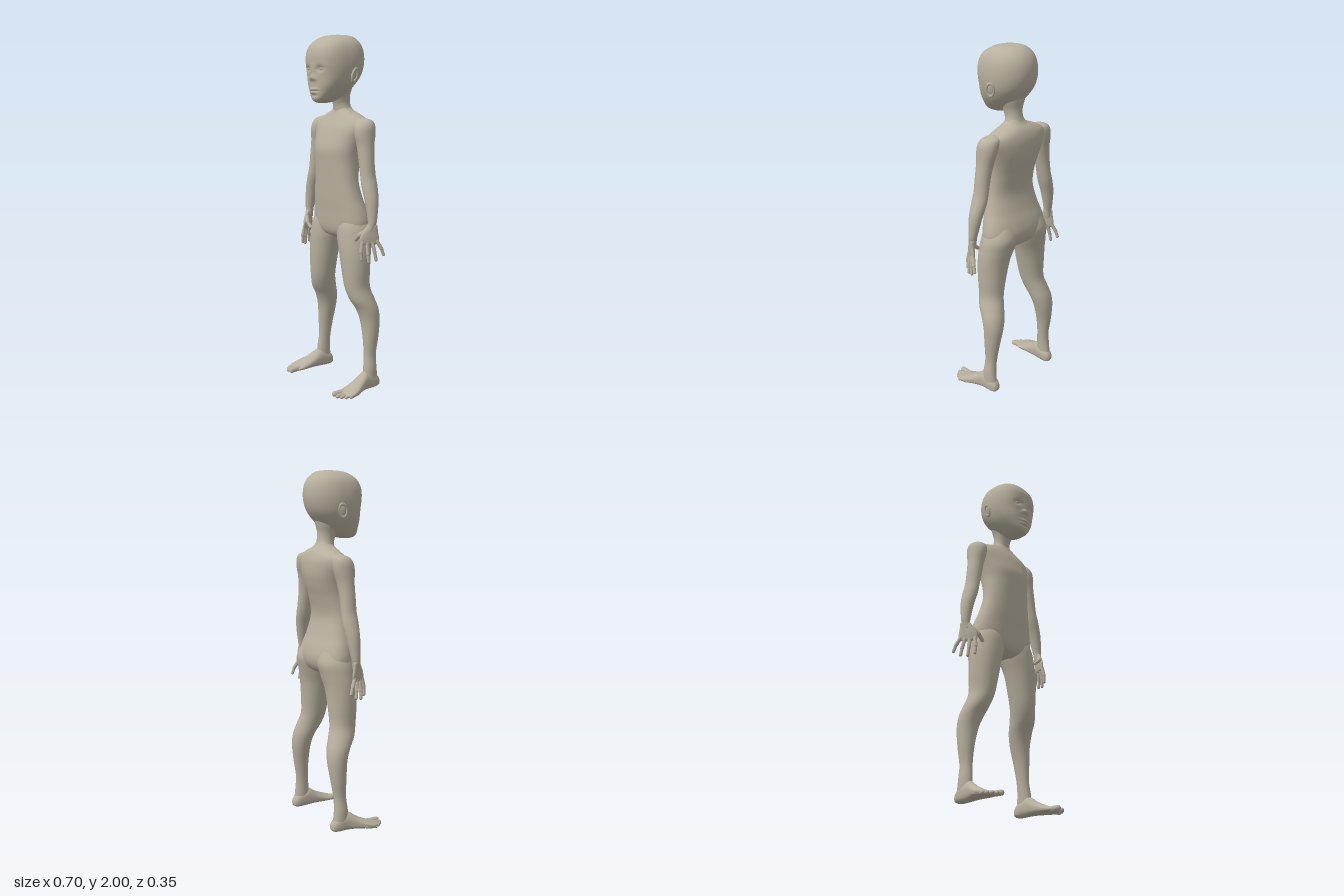
import * as THREE from 'three';

const clay = new THREE.MeshStandardMaterial({ color: 0xb8b09e });
clay.name = 'clay';

const cubic = (a, b, c, d, t) =>
  0.5 * (2 * b + (c - a) * t + (2 * a - 5 * b + 4 * c - d) * t * t + (3 * b - a - 3 * c + d) * t * t * t);

// Smooth loft through horizontal sections [y, centreX, frontZ, backZ, halfWidth], lowest first.
// nf and nb set how square the front and back halves of each section are.
function loft(rows, { seg = 32, sub = 5, nf = 2, nb = 2 } = {}) {
  const pos = [], index = [], last = rows.length - 1, steps = last * sub;
  for (let i = 0; i <= steps; i++) {
    const k = Math.min(Math.floor(i / sub), last - 1), t = i / sub - k;
    const row = n => rows[Math.max(0, Math.min(last, n))];
    const [y, cx, zf, zb, hw] = rows[0].map((_, c) => cubic(row(k - 1)[c], row(k)[c], row(k + 1)[c], row(k + 2)[c], t));
    const rx = Math.max(hw, 0.001), rz = Math.max((zf - zb) / 2, 0.001);
    for (let j = 0; j < seg; j++) {
      const a = (j / seg) * Math.PI * 2, c = Math.cos(a), s = Math.sin(a), n = s > 0 ? nf : nb;
      pos.push(cx + rx * Math.sign(c) * Math.abs(c) ** (2 / n), y, (zf + zb) / 2 + rz * Math.sign(s) * Math.abs(s) ** (2 / n));
      if (i < steps) {
        const p = i * seg + j, q = i * seg + ((j + 1) % seg);
        index.push(p, p + seg, q, q, p + seg, q + seg);
      }
    }
  }
  // close both ends
  for (const [ring, flip] of [[0, false], [steps, true]]) {
    const o = ring * seg;
    for (let j = 1; j < seg - 1; j++) index.push(o, o + (flip ? j + 1 : j), o + (flip ? j : j + 1));
  }
  const g = new THREE.BufferGeometry();
  g.setAttribute('position', new THREE.Float32BufferAttribute(pos, 3));
  g.setIndex(index);
  g.computeVertexNormals();
  return g;
}

// Move vertices by a rule
function sculpt(g, rule) {
  const p = g.attributes.position, v = new THREE.Vector3();
  for (let i = 0; i < p.count; i++) {
    rule(v.fromBufferAttribute(p, i));
    p.setXYZ(i, v.x, v.y, v.z);
  }
  g.computeVertexNormals();
  return g;
}

function add(parent, name, geometry) {
  const m = new THREE.Mesh(geometry, clay);
  m.name = name;
  parent.add(m);
  return m;
}

// Rounded rod between two points, for fingers and toes
function rod(parent, name, a, b, r) {
  const A = new THREE.Vector3(...a), B = new THREE.Vector3(...b), d = B.clone().sub(A);
  const m = add(parent, name, new THREE.CapsuleGeometry(r, d.length(), 6, 12));
  m.position.copy(A).addScaledVector(d, 0.5);
  m.quaternion.setFromUnitVectors(new THREE.Vector3(0, 1, 0), d.normalize());
  return m;
}

function ball(parent, name, x, y, z, rx, ry, rz) {
  const m = add(parent, name, new THREE.SphereGeometry(1, 24, 16));
  m.position.set(x, y, z);
  m.scale.set(rx, ry, rz);
  return m;
}

function buildHead(root) {
  const head = new THREE.Group();
  head.name = 'head';
  root.add(head);
  const skull = loft([
    [1.628, 0, 0.10, 0.05, 0.01], [1.636, 0, 0.125, 0.01, 0.036], [1.655, 0, 0.138, -0.03, 0.062],
    [1.69, 0, 0.139, -0.075, 0.093], [1.73, 0, 0.141, -0.115, 0.119], [1.78, 0, 0.142, -0.152, 0.137],
    [1.84, 0, 0.149, -0.171, 0.145], [1.90, 0, 0.147, -0.171, 0.141], [1.95, 0, 0.122, -0.153, 0.123],
    [1.985, 0, 0.07, -0.118, 0.085], [1.997, 0, 0.02, -0.08, 0.045], [2.0, 0, -0.025, -0.035, 0.003],
  ], { seg: 96, sub: 9, nf: 2.6, nb: 2.1 });
  // face relief: [x, y, depth, width, height]
  const relief = [
    [0, 1.768, 0.016, 0.017, 0.014], [0, 1.80, 0.009, 0.012, 0.03],
    [0.022, 1.76, 0.007, 0.01, 0.01], [-0.022, 1.76, 0.007, 0.01, 0.01],
    [0.056, 1.815, -0.012, 0.024, 0.015], [-0.056, 1.815, -0.012, 0.024, 0.015],
    [0, 1.703, 0.010, 0.03, 0.008], [0, 1.686, 0.009, 0.026, 0.007],
    [0, 1.695, -0.008, 0.034, 0.0035], [0, 1.67, -0.004, 0.03, 0.007],
  ];
  add(head, 'skull', sculpt(skull, v => {
    if (v.z < 0.03) return;
    let dz = 0;
    for (const [x, y, d, w, h] of relief) dz += d * Math.exp(-(((v.x - x) / w) ** 2) - ((v.y - y) / h) ** 2);
    v.z += dz;
  }));
  for (const s of [1, -1]) {
    ball(head, 'eye', s * 0.056, 1.815, 0.121, 0.021, 0.012, 0.014);
    // ear: outer rim round a shallow shell
    const ear = new THREE.Group();
    ear.name = 'ear';
    ear.position.set(s * 0.147, 1.782, -0.026);
    ear.rotation.set(-0.15, s * 0.35, s * -0.15);
    head.add(ear);
    ball(ear, 'earShell', 0, 0, 0, 0.009, 0.036, 0.022);
    const rim = add(ear, 'earRim', new THREE.TorusGeometry(0.024, 0.006, 8, 28));
    rim.rotation.y = Math.PI / 2;
    rim.scale.set(0.9, 1.5, 1);
    rim.position.x = s * 0.006;
  }
}

function buildArm(root, s) {
  const arm = new THREE.Group();
  arm.name = s > 0 ? 'leftArm' : 'rightArm';
  root.add(arm);
  add(arm, 'armLength', loft([
    [0.935, s * 0.301, -0.005, -0.055, 0.016], [0.97, s * 0.303, -0.012, -0.058, 0.022],
    [1.0, s * 0.303, -0.013, -0.064, 0.026], [1.1, s * 0.288, -0.006, -0.083, 0.036],
    [1.18, s * 0.264, -0.002, -0.094, 0.040], [1.24, s * 0.248, -0.004, -0.094, 0.038],
    [1.32, s * 0.234, -0.004, -0.094, 0.042], [1.4, s * 0.219, -0.002, -0.103, 0.046],
    [1.46, s * 0.209, 0.006, -0.118, 0.052], [1.505, s * 0.199, 0, -0.122, 0.056],
    [1.535, s * 0.188, -0.022, -0.112, 0.045], [1.549, s * 0.178, -0.06, -0.078, 0.008],
  ]));
  // palm, turned so the thumb side points forward and inward
  add(arm, 'palm', sculpt(loft([
    [0.862, s * 0.302, -0.01, -0.03, 0.004], [0.872, s * 0.302, 0.022, -0.064, 0.011],
    [0.90, s * 0.302, 0.026, -0.068, 0.015], [0.935, s * 0.302, 0.012, -0.062, 0.017],
    [0.975, s * 0.303, -0.013, -0.057, 0.018],
  ], { nf: 2.4, nb: 2.4 }), v => { v.x -= s * 0.5 * (v.z + 0.025); }));
  const fingers = [
    [[0.283, 0.878, 0.016], [0.287, 0.825, 0.026], [0.289, 0.785, 0.024]],
    [[0.297, 0.874, -0.01], [0.307, 0.815, -0.006], [0.311, 0.772, -0.009]],
    [[0.310, 0.876, -0.035], [0.322, 0.82, -0.042], [0.326, 0.78, -0.048]],
    [[0.321, 0.886, -0.056], [0.336, 0.842, -0.077], [0.341, 0.808, -0.088]],
    [[0.288, 0.94, -0.005], [0.253, 0.912, 0.014], [0.221, 0.884, 0.012]],
  ];
  fingers.forEach((f, i) => {
    const [a, b, c] = f.map(([x, y, z]) => [s * x, y, z]), name = i === 4 ? 'thumb' : 'finger';
    rod(arm, name + 'Base', a, b, i === 4 ? 0.013 : 0.0105);
    rod(arm, name + 'Tip', b, c, i === 4 ? 0.0105 : 0.009);
  });
}

function buildLeg(root, s) {
  const leg = new THREE.Group();
  leg.name = s > 0 ? 'leftLeg' : 'rightLeg';
  root.add(leg);
  add(leg, 'legLength', loft([
    [0.04, s * 0.232, -0.04, -0.138, 0.032], [0.12, s * 0.231, -0.045, -0.128, 0.033],
    [0.2, s * 0.224, -0.053, -0.128, 0.031], [0.3, s * 0.221, -0.05, -0.144, 0.042],
    [0.4, s * 0.211, -0.042, -0.156, 0.057], [0.47, s * 0.2, -0.02, -0.151, 0.066],
    [0.53, s * 0.186, 0.016, -0.134, 0.067], [0.6, s * 0.168, 0.036, -0.115, 0.068],
    [0.7, s * 0.158, 0.045, -0.118, 0.082], [0.8, s * 0.146, 0.049, -0.127, 0.096],
    [0.88, s * 0.129, 0.048, -0.145, 0.106], [0.95, s * 0.118, 0.04, -0.158, 0.104],
    [1.03, s * 0.108, 0.01, -0.13, 0.07],
  ]));
  // foot, lofted from heel to ball with a flat sole
  const foot = loft([
    [-0.15, s * 0.23, -0.02, -0.035, 0.008], [-0.14, s * 0.23, -0.007, -0.06, 0.024],
    [-0.11, s * 0.23, -0.002, -0.088, 0.034], [-0.05, s * 0.232, -0.003, -0.108, 0.037],
    [0, s * 0.241, -0.004, -0.078, 0.045], [0.05, s * 0.252, -0.003, -0.053, 0.055],
    [0.09, s * 0.256, -0.003, -0.036, 0.057], [0.112, s * 0.255, -0.006, -0.028, 0.049],
    [0.122, s * 0.253, -0.012, -0.02, 0.03],
  ], { nf: 3, nb: 2 });
  add(leg, 'foot', foot.rotateX(Math.PI / 2));
  const toes = [[0.222, 0.157, 0.0155], [0.251, 0.160, 0.0105], [0.272, 0.146, 0.01], [0.290, 0.127, 0.0095], [0.304, 0.103, 0.009]];
  toes.forEach(([x, z, r]) => rod(leg, 'toe', [s * (x * 0.85 + 0.0375), 0.018, z - 0.06], [s * x, r + 0.001, z], r));
}

export function createModel() {
  const root = new THREE.Group();
  root.name = 'mannequin';
  // plain torso
  add(root, 'torso', loft([
    [0.865, 0, 0.0, -0.08, 0.06], [0.885, 0, 0.03, -0.12, 0.14], [0.92, 0, 0.045, -0.148, 0.205],
    [0.97, 0, 0.051, -0.158, 0.217], [1.03, 0, 0.055, -0.146, 0.205], [1.1, 0, 0.062, -0.122, 0.183],
    [1.2, 0, 0.068, -0.102, 0.162], [1.3, 0, 0.075, -0.122, 0.157], [1.37, 0, 0.078, -0.144, 0.166],
    [1.43, 0, 0.062, -0.157, 0.182], [1.49, 0, 0.04, -0.158, 0.202], [1.53, 0, 0.018, -0.15, 0.192],
    [1.56, 0, 0.002, -0.136, 0.135], [1.585, 0, -0.008, -0.114, 0.07], [1.61, 0, -0.014, -0.1, 0.048],
  ], { seg: 48, nf: 2.3, nb: 2.3 }));
  add(root, 'neck', loft([
    [1.53, 0, -0.01, -0.12, 0.08], [1.58, 0, -0.008, -0.112, 0.062], [1.62, 0, -0.002, -0.1, 0.05],
    [1.66, 0, 0.015, -0.097, 0.054], [1.70, 0, 0.03, -0.105, 0.068], [1.75, 0, 0.03, -0.115, 0.08],
  ]));
  buildHead(root);
  for (const s of [1, -1]) {
    buildArm(root, s);
    buildLeg(root, s);
  }
  return root;
}
